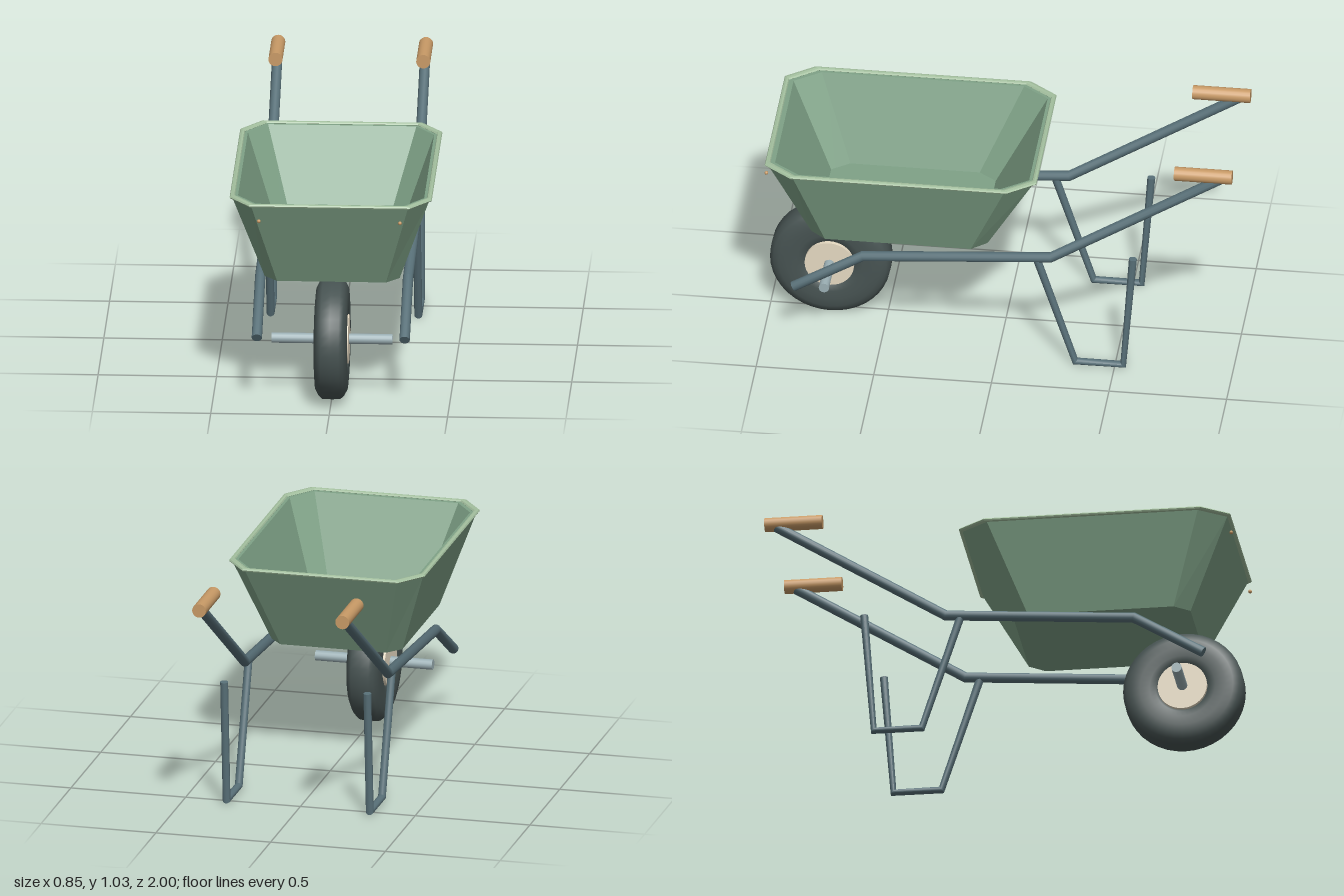
import * as THREE from 'three';
import { toCreasedNormals } from 'three/addons/utils/BufferGeometryUtils.js';

const mat = (color) => new THREE.MeshStandardMaterial({ color });
const trayMat = mat(0x7fa287), rimMat = mat(0xa3bf9e), frameMat = mat(0x587078);
const tyreMat = mat(0x475352), hubMat = mat(0xe6dac2), axleMat = mat(0x9cb0b5);
const gripMat = mat(0xc89a66);

function add(parent, name, geometry, material) {
  const mesh = new THREE.Mesh(geometry, material);
  mesh.name = name;
  parent.add(mesh);
  return mesh;
}

// Skins a list of rings; each ring runs counter-clockwise about the travel direction.
function loft(rings, capped, crease) {
  const pos = [];
  const tri = (a, b, c) => pos.push(...a, ...b, ...c);
  const n = rings[0].length;
  for (let k = 0; k + 1 < rings.length; k++) {
    const a = rings[k], b = rings[k + 1];
    for (let i = 0; i < n; i++) {
      const j = (i + 1) % n;
      tri(a[i], a[j], b[j]);
      tri(a[i], b[j], b[i]);
    }
  }
  if (capped) {
    const s = rings[0], e = rings[rings.length - 1];
    for (let i = 1; i + 1 < n; i++) {
      tri(s[0], s[i + 1], s[i]);
      tri(e[0], e[i], e[i + 1]);
    }
  }
  const geo = new THREE.BufferGeometry();
  geo.setAttribute('position', new THREE.Float32BufferAttribute(pos, 3));
  geo.computeVertexNormals();
  return toCreasedNormals(geo, crease);
}

// Rectangle with cut corners at height y.
function octagon(y, hx, z0, z1, dx, dz) {
  return [
    [hx - dx, y, z1], [hx, y, z1 - dz], [hx, y, z0 + dz], [hx - dx, y, z0],
    [dx - hx, y, z0], [-hx, y, z0 + dz], [-hx, y, z1 - dz], [dx - hx, y, z1],
  ];
}

// Bent pipe in a plane of constant x; path holds [z, y] points.
function pipe(x, path, r, sides = 14) {
  const dir = (p, q) => new THREE.Vector2(q[0] - p[0], q[1] - p[1]).normalize();
  const rings = path.map((p, k) => {
    const t = new THREE.Vector2();
    if (k > 0) t.add(dir(path[k - 1], p));
    if (k + 1 < path.length) t.add(dir(p, path[k + 1]));
    t.normalize();
    return Array.from({ length: sides }, (_, i) => {
      const a = (i / sides) * Math.PI * 2, s = Math.sin(a) * r;
      return [x + Math.cos(a) * r, p[1] + s * t.x, p[0] - s * t.y];
    });
  });
  return loft(rings, true, 0.6);
}

export function createModel() {
  const model = new THREE.Group();
  model.name = 'wheelbarrow';

  // Tray: outer wall, lip and inner wall down to the floor
  add(model, 'tray', loft([
    octagon(0.53, 0.285, 0.05, 0.8, 0.055, 0.065),
    octagon(0.918, 0.417, -0.16, 0.972, 0.085, 0.115),
    octagon(0.918, 0.393, -0.137, 0.943, 0.08, 0.11),
    octagon(0.555, 0.26, 0.07, 0.77, 0.055, 0.075),
  ], true, 0.05), trayMat);

  // Rolled rim
  const rim = Array.from({ length: 9 }, (_, i) => {
    const a = (i / 8) * Math.PI * 2;
    const out = 0.011 * Math.cos(a);
    return octagon(0.919 + 0.008 * Math.sin(a), 0.416 + out, -0.161 - out, 0.973 + out, 0.087, 0.117);
  });
  add(model, 'rim', loft(rim, false, 0.3), rimMat);

  // Wheel
  const wheel = new THREE.Group();
  wheel.name = 'wheel';
  wheel.position.set(0, 0.26, 0.743);
  model.add(wheel);
  const half = [[0.1, 0.05], [0.115, 0.064], [0.14, 0.069], [0.18, 0.07], [0.216, 0.067], [0.24, 0.055], [0.256, 0.038], [0.257, 0]];
  const profile = [...half.map(([r, w]) => new THREE.Vector2(r, -w)),
    ...half.slice(0, -1).reverse().map(([r, w]) => new THREE.Vector2(r, w))];
  const spin = (geo) => geo.rotateZ(Math.PI / 2);
  add(wheel, 'tyre', spin(new THREE.LatheGeometry(profile, 40)), tyreMat);
  add(wheel, 'hub', spin(new THREE.CylinderGeometry(0.105, 0.105, 0.143, 32)), hubMat);
  add(wheel, 'axle', spin(new THREE.CylinderGeometry(0.022, 0.022, 0.51, 16)), axleMat);

  for (const side of [-1, 1]) {
    const label = side > 0 ? 'left' : 'right';
    const x = 0.312 * side;
    // Frame rail, from wheel to grip
    add(model, label + 'Rail', pipe(x, [[0.865, 0.297], [0.57, 0.475], [-0.23, 0.535], [-0.95, 0.99]], 0.022), frameMat);
    // Bent leg
    add(model, label + 'Leg', pipe(x, [[-0.17, 0.52], [-0.333, 0.018], [-0.537, 0.018], [-0.578, 0.555]], 0.017), frameMat);
    // Hand grip
    const grip = add(model, label + 'Grip', new THREE.CylinderGeometry(0.03, 0.03, 0.245, 20), gripMat);
    grip.rotation.x = Math.PI / 2;
    grip.position.set(x, 1.003, -0.8775);
    // Tray bolt
    const bolt = add(model, label + 'Bolt', new THREE.SphereGeometry(0.008, 10, 8), gripMat);
    bolt.position.set(0.298 * side, 0.853, 0.982);
  }
  return model;
}
